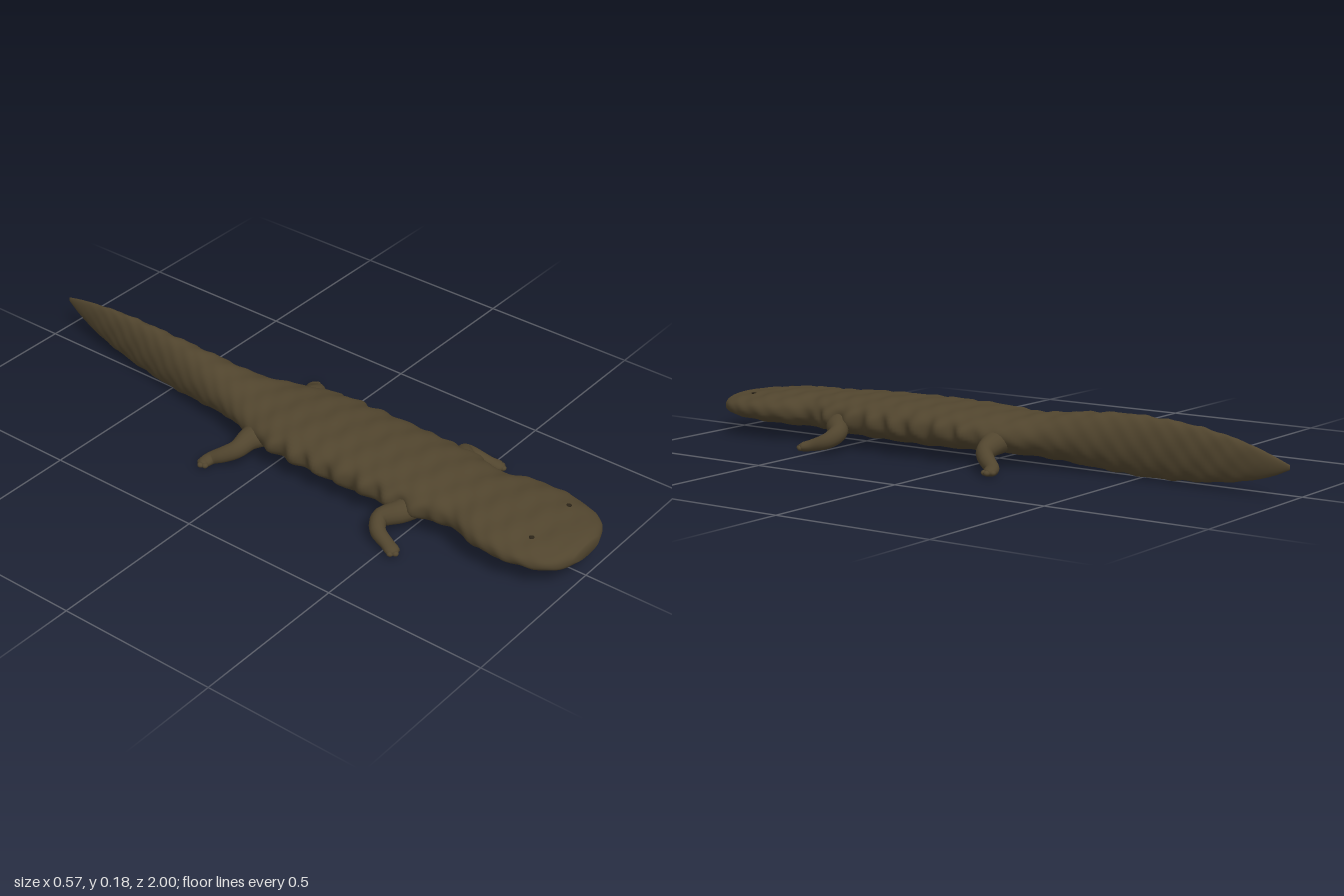
import * as THREE from 'three';

const SEG = 48;

// Closed smooth skin through a list of rings, capped to each end's centre
function loft(rings) {
  const n = rings[0].length, pos = [], idx = [];
  rings.forEach(r => r.forEach(p => pos.push(p.x, p.y, p.z)));
  for (let i = 0; i < rings.length - 1; i++) {
    for (let j = 0; j < n; j++) {
      const k = (j + 1) % n, a = i * n + j, b = i * n + k;
      idx.push(a, b, a + n, b, b + n, a + n);
    }
  }
  const last = (rings.length - 1) * n;
  for (const [start, flip] of [[0, true], [last, false]]) {
    const c = new THREE.Vector3();
    rings[start / n].forEach(p => c.addScaledVector(p, 1 / n));
    const ci = pos.length / 3;
    pos.push(c.x, c.y, c.z);
    for (let j = 0; j < n; j++) {
      const a = start + j, b = start + (j + 1) % n;
      if (flip) idx.push(ci, b, a); else idx.push(ci, a, b);
    }
  }
  const g = new THREE.BufferGeometry();
  g.setAttribute('position', new THREE.Float32BufferAttribute(pos, 3));
  g.setIndex(idx);
  g.computeVertexNormals();
  return g;
}

// Stations from tail tip to snout: z, centre x, half width, bottom y, top y
const STATIONS = [
  [-1.0, 0.075, 0.003, 0.088, 0.102],
  [-0.95, 0.066, 0.01, 0.066, 0.118],
  [-0.85, 0.048, 0.019, 0.037, 0.144],
  [-0.7, 0.028, 0.031, 0.015, 0.168],
  [-0.5, 0.008, 0.048, 0.005, 0.179],
  [-0.35, 0.0, 0.066, 0.012, 0.174],
  [-0.2, -0.003, 0.092, 0.023, 0.158],
  [-0.1, 0, 0.132, 0.028, 0.15],
  [0.0, 0, 0.158, 0.03, 0.153],
  [0.2, 0, 0.163, 0.027, 0.158],
  [0.4, 0, 0.161, 0.029, 0.157],
  [0.56, 0, 0.15, 0.034, 0.152],
  [0.63, 0, 0.132, 0.037, 0.148],
  [0.71, 0, 0.16, 0.039, 0.145],
  [0.8, 0, 0.172, 0.041, 0.14],
  [0.89, 0, 0.162, 0.046, 0.13],
  [0.95, 0, 0.136, 0.051, 0.123],
  [0.98, 0, 0.105, 0.056, 0.117],
  [1.0, 0, 0.055, 0.07, 0.105]
];
const profile = new THREE.CubicInterpolant(STATIONS.map(s => s[0]), STATIONS.flatMap(s => s.slice(1)), 4);
const step = THREE.MathUtils.smoothstep;

// Point on the body skin, angle 0 on the left flank and PI/2 along the back
function skin(z, a) {
  const [cx, w, lo, hi] = profile.evaluate(z);
  const c = Math.cos(a), s = Math.sin(a);
  const e = 1 - 0.15 * step(z, -0.15, 0.1);
  const trunk = step(z, -0.06, 0.03) * (1 - step(z, 0.55, 0.61));
  // scalloped fold along each flank
  const fold = trunk * 0.011 * Math.pow(Math.abs(c), 8) * Math.sin(z * 74 + (c > 0 ? 0 : 0.8));
  // gentle lumps all over the skin
  const fade = step(z, -0.95, -0.7) * (1 - step(z, 0.88, 0.99));
  const lump = fade * 0.0016 * (Math.sin(z * 61 + 4 * a) + Math.sin(z * 97 - 7 * a) * 0.7);
  const x = Math.sign(c) * Math.pow(Math.abs(c), e) * (w + fold + lump);
  const y = Math.sign(s) * Math.pow(Math.abs(s), e) * ((hi - lo) / 2 + lump);
  return new THREE.Vector3(cx + x, (hi + lo) / 2 + y, z);
}

function bodyGeometry() {
  const rings = [], N = 230;
  for (let i = 0; i <= N; i++) {
    const t = i / N;
    // rings crowd together towards the snout
    const z = -1 + 2 * (0.6 * t + 0.4 * Math.sin(t * Math.PI / 2));
    rings.push(Array.from({ length: SEG }, (_, j) => skin(z, j / SEG * Math.PI * 2)));
  }
  return loft(rings);
}

// Limb through points [x, y, z, half width, half height]
function limbGeometry(points, side) {
  const curve = new THREE.CatmullRomCurve3(points.map(p => new THREE.Vector3(p[0] * side, p[1], p[2])));
  const size = new THREE.CubicInterpolant(points.map((_, i) => i / (points.length - 1)),
    points.flatMap(p => [p[3], p[4]]), 2);
  const rings = [], N = 32, up = new THREE.Vector3(0, 1, 0);
  for (let i = 0; i <= N; i++) {
    const p = curve.getPoint(i / N), T = curve.getTangent(i / N);
    const S = new THREE.Vector3().crossVectors(up, T).normalize();
    const U = new THREE.Vector3().crossVectors(T, S);
    const [w, h] = size.evaluate(i / N);
    rings.push(Array.from({ length: 16 }, (_, j) => {
      const a = j / 16 * Math.PI * 2;
      return p.clone().addScaledVector(S, Math.cos(a) * w).addScaledVector(U, Math.sin(a) * h);
    }));
  }
  return loft(rings);
}

const LIMBS = {
  frontLeg: [
    [0.1, 0.075, 0.5, 0.045, 0.035], [0.155, 0.072, 0.485, 0.036, 0.033],
    [0.205, 0.058, 0.448, 0.026, 0.028], [0.233, 0.04, 0.463, 0.023, 0.024],
    [0.249, 0.025, 0.507, 0.02, 0.018], [0.26, 0.019, 0.535, 0.021, 0.014],
    [0.266, 0.018, 0.547, 0.009, 0.007]
  ],
  hindLeg: [
    [0.09, 0.075, -0.06, 0.055, 0.038], [0.145, 0.07, -0.075, 0.036, 0.033],
    [0.19, 0.055, -0.083, 0.026, 0.028], [0.217, 0.038, -0.112, 0.023, 0.024],
    [0.235, 0.023, -0.142, 0.02, 0.019], [0.26, 0.018, -0.15, 0.02, 0.014],
    [0.275, 0.018, -0.15, 0.009, 0.007]
  ]
};
// Toe centres per foot
const TOES = {
  frontLeg: [[0.247, 0.538], [0.262, 0.546], [0.272, 0.535]],
  hindLeg: [[0.262, -0.162], [0.275, -0.151], [0.27, -0.139]]
};

export function createModel() {
  const model = new THREE.Group();
  const skinMat = new THREE.MeshStandardMaterial({ color: 0x51452e });
  skinMat.name = 'brown skin';
  const eyeMat = new THREE.MeshStandardMaterial({ color: 0x2b2418 });
  eyeMat.name = 'dark eye';
  const add = (parent, geo, mat, name) => {
    const m = new THREE.Mesh(geo, mat);
    m.name = name;
    parent.add(m);
    return m;
  };

  add(model, bodyGeometry(), skinMat, 'body');

  for (const side of [1, -1]) {
    const label = side > 0 ? 'Left' : 'Right';
    for (const kind of Object.keys(LIMBS)) {
      const leg = new THREE.Group();
      leg.name = kind + label;
      add(leg, limbGeometry(LIMBS[kind], side), skinMat, 'limb');
      for (const [x, z] of TOES[kind]) {
        const toe = add(leg, new THREE.SphereGeometry(0.01, 12, 8), skinMat, 'toe');
        toe.scale.y = 0.8;
        toe.position.set(x * side, 0.016, z);
      }
      model.add(leg);
    }
    // tiny eyes on top of the head
    const eye = add(model, new THREE.SphereGeometry(0.008, 12, 8), eyeMat, 'eye' + label);
    eye.scale.y = 0.4;
    eye.position.copy(skin(0.875, Math.PI / 2 - side * 0.52));
  }
  return model;
}
